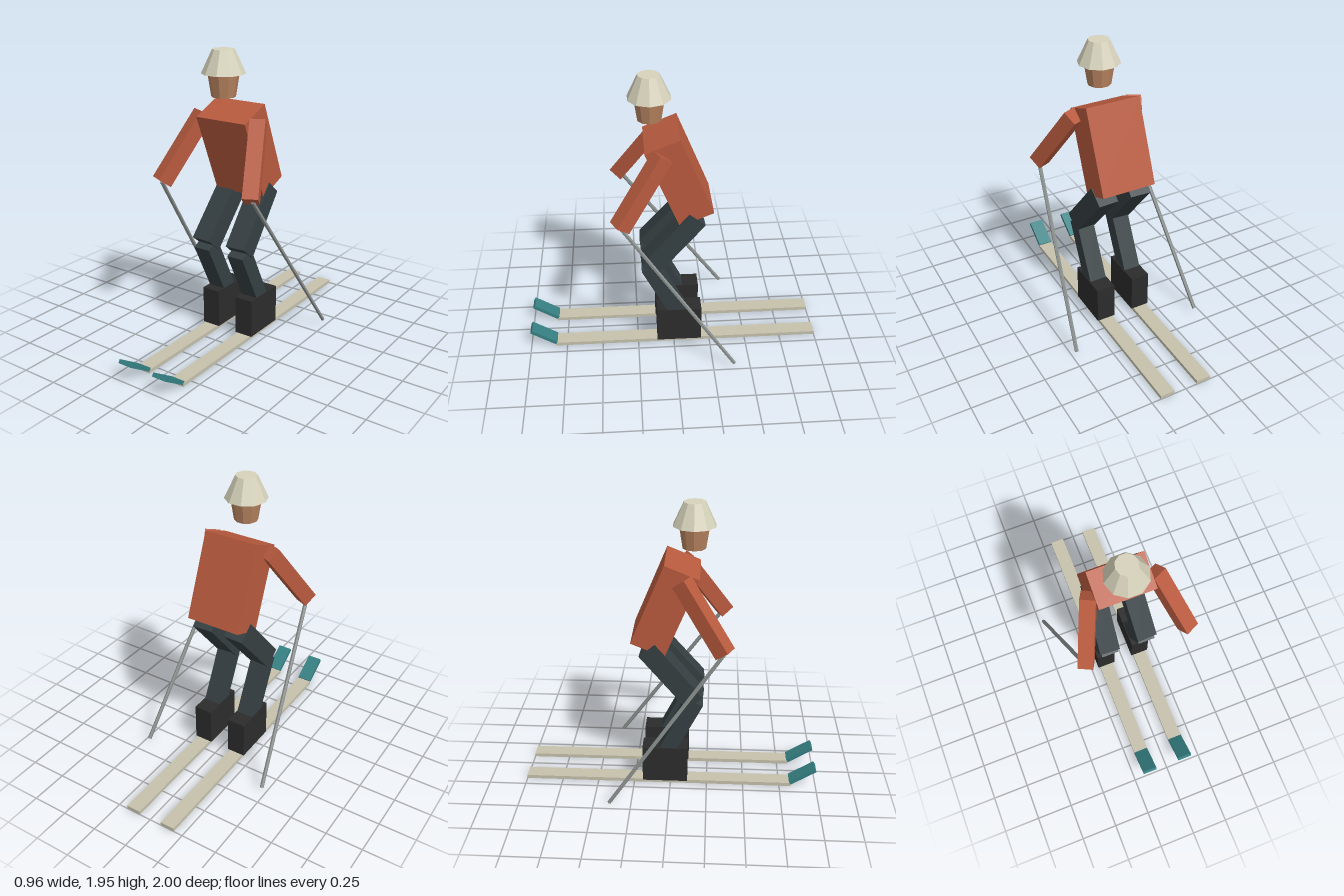
import * as THREE from 'three';

const mat = (color) => new THREE.MeshStandardMaterial({ color, flatShading: true });

export function createModel() {
  const root = new THREE.Group();
  const jacket = mat(0xb85a3e), trousers = mat(0x353f42), bootMat = mat(0x2c2c2c);
  const skiMat = mat(0xc6c1ac), tipMat = mat(0x358083), poleMat = mat(0x8a908e);
  const skin = mat(0xb98460), hatMat = mat(0xd6d2bb);

  const add = (name, geometry, material, x, y, z) => {
    const mesh = new THREE.Mesh(geometry, material);
    mesh.name = name;
    mesh.position.set(x, y, z);
    root.add(mesh);
    return mesh;
  };

  // Places a part whose length runs along z so that it spans from a to b
  const span = (name, a, b, material, makeGeometry) => {
    const start = new THREE.Vector3(...a), end = new THREE.Vector3(...b);
    const mid = start.clone().lerp(end, 0.5);
    const mesh = add(name, makeGeometry(start.distanceTo(end)), material, mid.x, mid.y, mid.z);
    mesh.lookAt(end);
  };
  const beam = (name, a, b, width, depth, material) =>
    span(name, a, b, material, (len) => new THREE.BoxGeometry(width, depth, len));
  const rod = (name, a, b, radius, material) =>
    span(name, a, b, material, (len) => new THREE.CylinderGeometry(radius, radius, len, 6).rotateX(Math.PI / 2));

  // Leaning torso
  beam('torso', [0, 1.021, -0.147], [0, 1.553, 0.072], 0.375, 0.238, jacket);

  // Head and hat
  add('head', new THREE.CylinderGeometry(0.1, 0.077, 0.145, 10).rotateY(Math.PI / 2), skin, 0, 1.7275, 0.142);
  add('hat', new THREE.CylinderGeometry(0.07, 0.14, 0.15, 10).rotateY(Math.PI / 2), hatMat, 0, 1.875, 0.142);

  // Paired limbs and equipment
  for (const [side, s] of [['left', 1], ['right', -1]]) {
    const hand = [s * 0.348, 1.088, 0.349];
    const knee = [s * 0.135, 0.647, 0.166];

    beam(side + 'Arm', [s * 0.214, 1.507, 0.072], hand, 0.1, 0.1, jacket);
    rod(side + 'Pole', [s * 0.356, 1.085, 0.34], [s * 0.466, 0.025, -0.392], 0.0135, poleMat);

    beam(side + 'Thigh', [s * 0.12, 1.018, -0.149], knee, 0.14, 0.137, trousers);
    beam(side + 'Shin', knee, [s * 0.135, 0.215, -0.05], 0.12, 0.11, trousers);
    add(side + 'Boot', new THREE.BoxGeometry(0.13, 0.262, 0.305), bootMat, s * 0.135, 0.157, -0.037);

    add(side + 'Ski', new THREE.BoxGeometry(0.1, 0.025, 1.83), skiMat, s * 0.135, 0.0125, -0.085);
    beam(side + 'SkiTip', [s * 0.135, 0.023, 0.824], [s * 0.135, 0.132, 0.992], 0.1, 0.025, tipMat);
  }
  return root;
}
